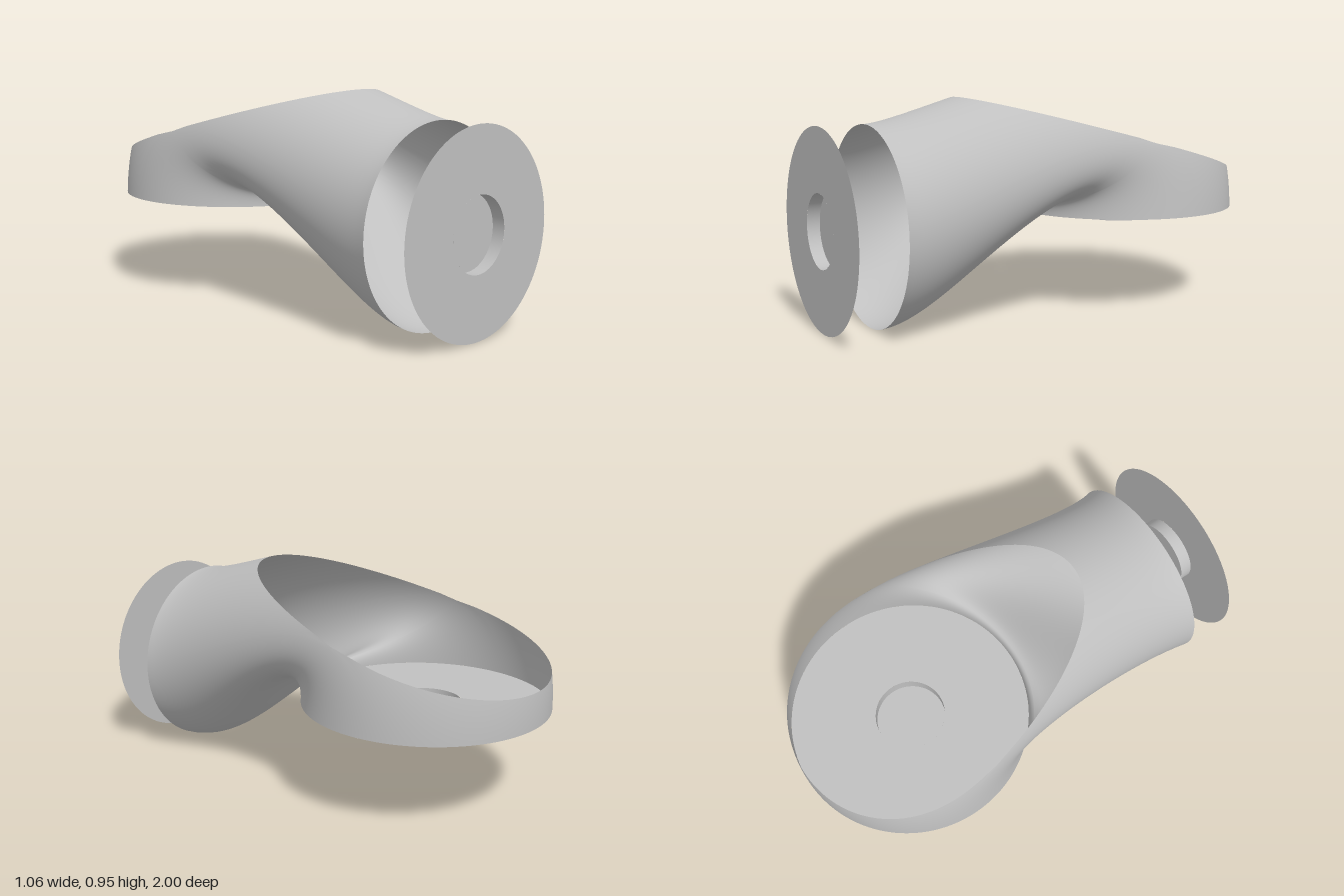
import * as THREE from 'three';
import { mergeVertices } from 'three/addons/utils/BufferGeometryUtils.js';

const grey = new THREE.MeshStandardMaterial({ color: 0xc0c0c0, side: THREE.DoubleSide });
grey.name = 'grey';

const INLET_R = 0.4225, BOWL_R = 0.53, BOWL_Y = 0.43, BOWL_Z = -0.47, HOLE_R = 0.155;

// Height above the slanted plane that cuts the bowl open
const aboveCut = (p) => p.y - (0.945 + 0.269 * (p.z - 0.375));

// Path along the duct wall, from the upright inlet circle to the level bowl circle
function wallPath(phi) {
  const s = Math.sin(phi), c = Math.cos(phi);
  const rise = 0.21 + 0.96 * (1 - c) / 2;
  const start = new THREE.Vector3(INLET_R * s, INLET_R * (1 - c), 0.8);
  const end = new THREE.Vector3(BOWL_R * s, BOWL_Y, BOWL_Z + BOWL_R * c);
  return new THREE.CubicBezierCurve3(
    start,
    new THREE.Vector3(start.x * 0.83, start.y, 0.5),
    new THREE.Vector3(end.x * 0.9, BOWL_Y + rise, end.z),
    end
  );
}

// Where a path leaves and re-enters the cut plane (equal when it stays below)
function cutRange(path) {
  const N = 400;
  const height = (u) => aboveCut(path.getPoint(u));
  let first = -1, last = -1, peak = 0, best = -Infinity;
  for (let i = 0; i <= N; i++) {
    const h = height(i / N);
    if (h > best) { best = h; peak = i / N; }
    if (h > 0) { if (first < 0) first = i; last = i; }
  }
  if (first < 0) return [peak, peak];
  const cross = (i) => {
    const h0 = height(i / N), h1 = height((i + 1) / N);
    return (i + h0 / (h0 - h1)) / N;
  };
  return [cross(first - 1), cross(last)];
}

// Curved duct: front strip up to the cut, back strip from the cut to the bowl floor
function ductGeometry() {
  const AROUND = 144, STEPS = 24, COLUMN = 2 * (STEPS + 1);
  const positions = [], index = [];
  for (let i = 0; i < AROUND; i++) {
    const path = wallPath((i / AROUND) * Math.PI * 2);
    const [a, b] = cutRange(path);
    for (const [from, to] of [[0, a], [b, 1]]) {
      for (let j = 0; j <= STEPS; j++) {
        positions.push(...path.getPoint(from + (to - from) * j / STEPS).toArray());
      }
    }
    for (let j = 0; j < COLUMN - 1; j++) {
      if (j === STEPS) continue;
      const p = i * COLUMN + j, q = ((i + 1) % AROUND) * COLUMN + j;
      index.push(p, p + 1, q, q, p + 1, q + 1);
    }
  }
  let geometry = new THREE.BufferGeometry();
  geometry.setAttribute('position', new THREE.Float32BufferAttribute(positions, 3));
  geometry.setIndex(index);
  geometry = mergeVertices(geometry, 1e-5);
  geometry.computeVertexNormals();
  return geometry;
}

function addMesh(parent, name, geometry) {
  const mesh = new THREE.Mesh(geometry, grey);
  mesh.name = name;
  parent.add(mesh);
  return mesh;
}

// Thin disc facing +z with a round recess in its middle
function recessedDisc(name, radius, depth) {
  const disc = new THREE.Group();
  disc.name = name;
  addMesh(disc, name + 'Plate', new THREE.RingGeometry(HOLE_R, radius, 96));
  const wall = new THREE.CylinderGeometry(HOLE_R, HOLE_R, depth, 64, 1, true).rotateX(Math.PI / 2);
  addMesh(disc, name + 'RecessWall', wall).position.z = -depth / 2;
  addMesh(disc, name + 'RecessFloor', new THREE.CircleGeometry(HOLE_R, 64)).position.z = -depth;
  return disc;
}

export function createModel() {
  const model = new THREE.Group();
  model.name = 'elbowDuct';

  addMesh(model, 'duct', ductGeometry());

  // Separate cover in front of the inlet
  const cover = recessedDisc('inletCover', INLET_R, 0.055);
  cover.position.set(0, INLET_R, 1);
  model.add(cover);

  // Bowl floor, with its recess standing out underneath
  const floor = recessedDisc('bowlFloor', BOWL_R, 0.065);
  floor.rotation.x = -Math.PI / 2;
  floor.position.set(0, BOWL_Y, BOWL_Z);
  model.add(floor);

  return model;
}
